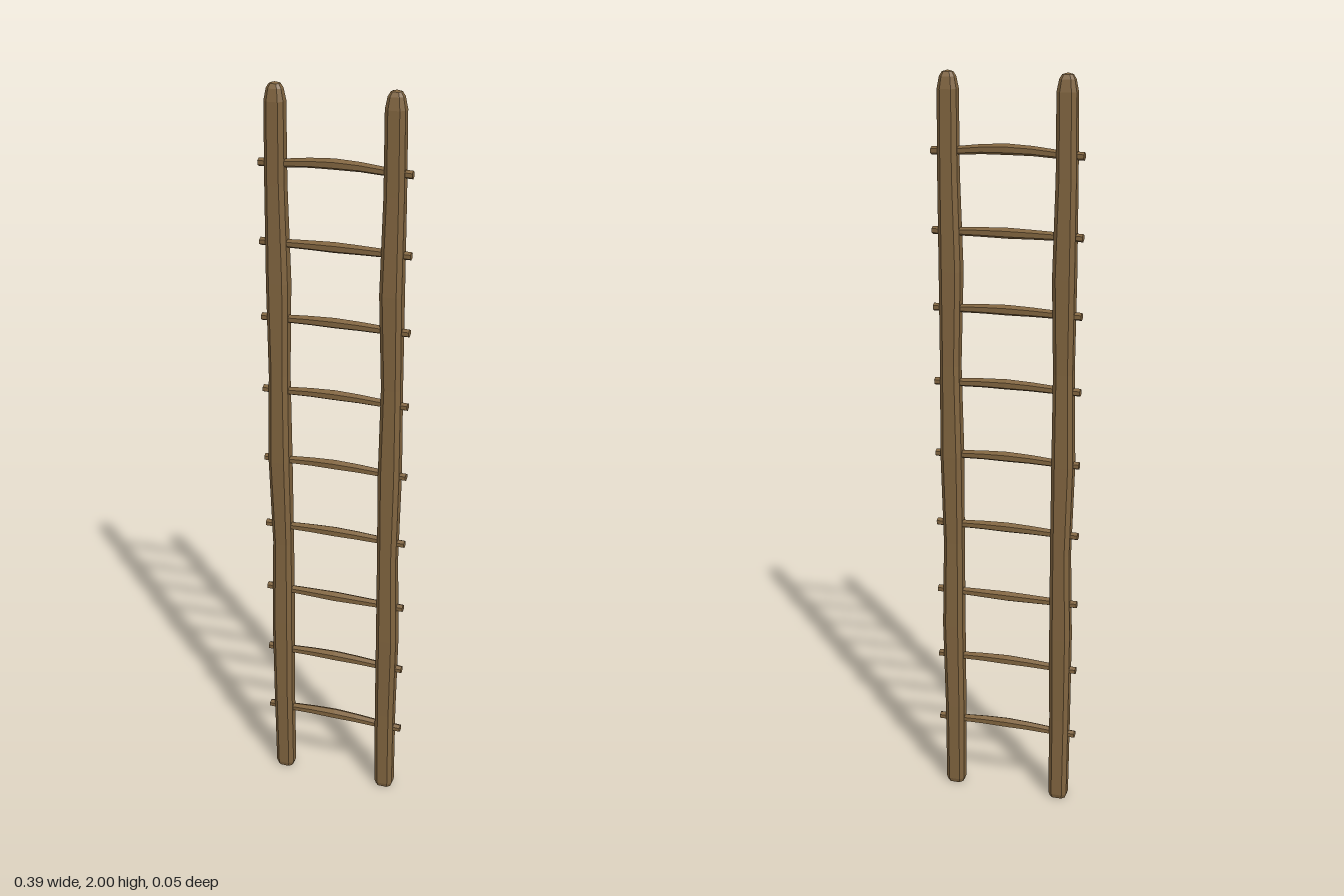
import * as THREE from 'three';

// Skin a list of equal-sized rings, closing both ends on a centre point.
// Rings run counter-clockwise as seen from the far (last) end.
function loft(rings, startTip, endTip) {
  const n = rings[0].length, pos = [];
  const tri = (a, b, c) => pos.push(...a, ...b, ...c);
  for (let i = 0; i < n; i++) {
    const j = (i + 1) % n;
    tri(startTip, rings[0][j], rings[0][i]);
    for (let k = 0; k < rings.length - 1; k++) {
      const a = rings[k], b = rings[k + 1];
      tri(a[i], a[j], b[j]);
      tri(a[i], b[j], b[i]);
    }
    const last = rings[rings.length - 1];
    tri(last[i], last[j], endTip);
  }
  const g = new THREE.BufferGeometry();
  g.setAttribute('position', new THREE.Float32BufferAttribute(pos, 3));
  g.computeVertexNormals();
  return g;
}

// Rectangle with cut corners, lying flat at height y
function railRing(cx, y, cz, w, d, scale) {
  const c = 0.011;
  return [
    [w, d - c], [w - c, d], [-w + c, d], [-w, d - c],
    [-w, -d + c], [-w + c, -d], [w - c, -d], [w, -d + c],
  ].map(([x, z]) => [cx + x * scale, y, cz + z * scale]).reverse();
}

// Hewn pole with a blunt pointed top and slightly uneven sides
function railGeometry(side) {
  const x = side * 0.152, rings = [];
  const levels = [[0, 0.85], [0.012, 1], [0.25, 1], [0.5, 1], [0.75, 1], [1, 1],
    [1.25, 1], [1.5, 1], [1.75, 1], [1.955, 0.97], [1.985, 0.75], [1.996, 0.5]];
  levels.forEach(([y, s], i) => {
    const body = i > 1 && i < 9 ? 1 : 0;
    const dx = body * 0.002 * Math.sin(i * 2.3 + side);
    const dz = body * 0.002 * Math.sin(i * 1.7 + side * 2);
    const swell = body * 0.0015 * (1 + Math.sin(i * 2.9));
    rings.push(railRing(x + dx, y, dz, 0.026 + swell, 0.0225 + swell, s));
  });
  return loft(rings, [x, 0, 0], [x, 2, 0]);
}

// Six-sided rung, thickest in the middle and bowed upwards
function rungGeometry(bow, half) {
  const rings = [-half, -0.13, -0.065, 0, 0.065, 0.13, half].map((x) => {
    const t = Math.max(0, 1 - Math.abs(x) / 0.15);
    const r = 0.0115 + 0.004 * t;
    const y = bow * (1 - (1 - t) ** 2);
    return Array.from({ length: 6 }, (_, i) => {
      const a = i * Math.PI / 3;
      return [x, y + Math.cos(a) * r * 0.9, Math.sin(a) * r];
    });
  });
  return loft(rings, [-half, 0, 0], [half, 0, 0]);
}

export function createModel() {
  const wood = new THREE.MeshStandardMaterial({ color: 0x80643f });
  wood.name = 'brownWood';
  const group = new THREE.Group();
  group.name = 'ladder';

  // Side rails
  for (const side of [-1, 1]) {
    const rail = new THREE.Mesh(railGeometry(side), wood);
    rail.name = side > 0 ? 'leftRail' : 'rightRail';
    group.add(rail);
  }

  // Rungs, poking out through the rails
  const bows = [0.006, 0.005, 0, 0.004, 0.006, 0.006, 0.004, 0.002, 0.01];
  bows.forEach((bow, i) => {
    const rung = new THREE.Mesh(rungGeometry(bow, 0.197), wood);
    rung.name = 'rung' + (i + 1);
    rung.position.y = 0.203 + i * 0.2;
    group.add(rung);
  });
  return group;
}
